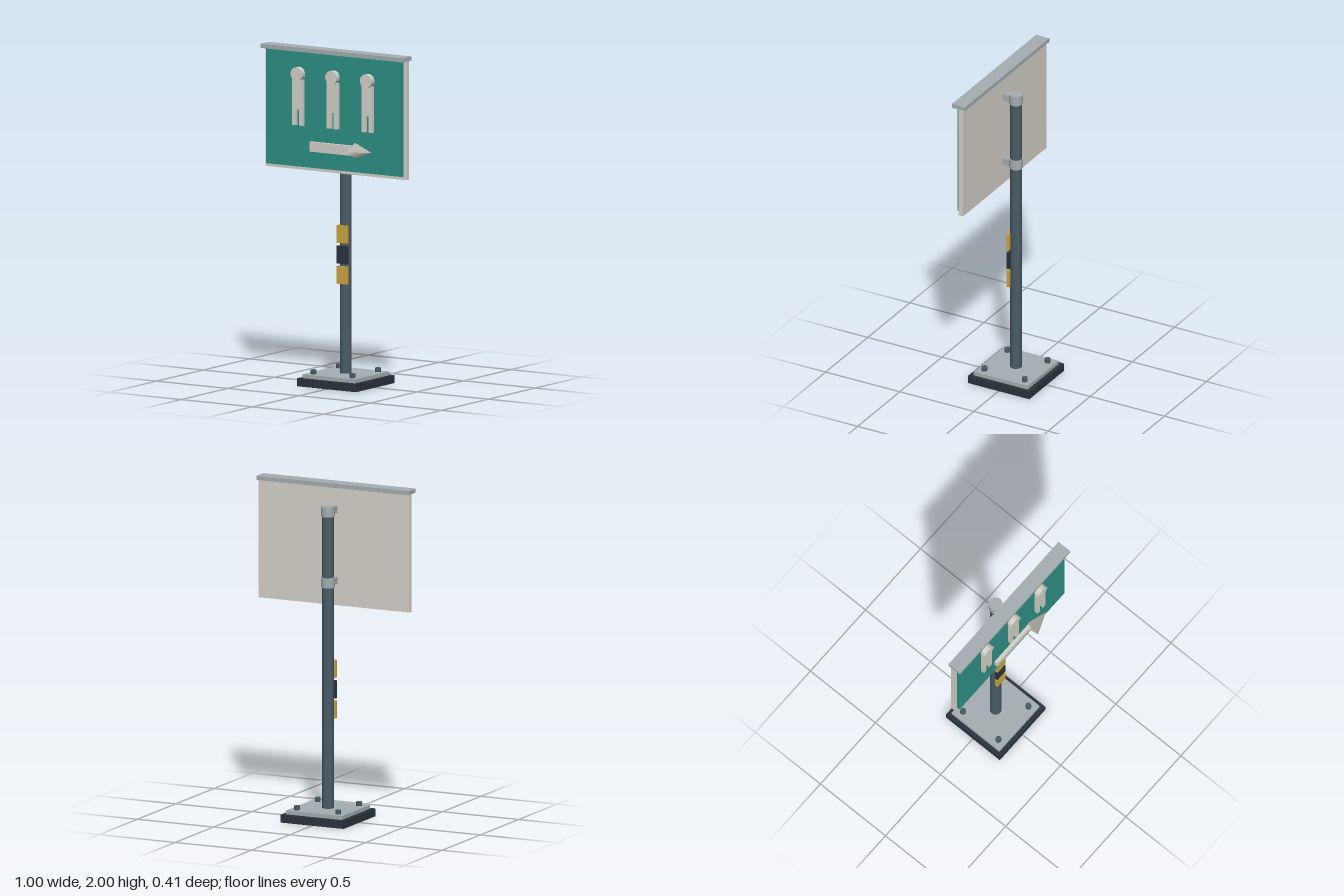
import * as THREE from 'three';

const mat = (name, color) => {
  const m = new THREE.MeshStandardMaterial({ color });
  m.name = name;
  return m;
};

export function createModel() {
  const teal = mat('teal', 0x2d9086);
  const cream = mat('cream', 0xd4d1c9);
  const metal = mat('light metal', 0xa4adb0);
  const steel = mat('pole steel', 0x4a5b65);
  const dark = mat('dark rubber', 0x2a333c);
  const gold = mat('gold', 0xcca53e);

  const model = new THREE.Group();
  model.name = 'directionSign';

  const add = (name, geometry, material, parent = model) => {
    const mesh = new THREE.Mesh(geometry, material);
    mesh.name = name;
    parent.add(mesh);
    return mesh;
  };
  // Box given by its lower and upper limits on each axis
  const box = (name, material, [x0, x1], [y0, y1], [z0, z1], parent) =>
    add(name, new THREE.BoxGeometry(x1 - x0, y1 - y0, z1 - z0)
      .translate((x0 + x1) / 2, (y0 + y1) / 2, (z0 + z1) / 2), material, parent);
  // Upright cylinder between two heights
  const post = (name, material, r, y0, y1, sides, x = 0, z = 0) =>
    add(name, new THREE.CylinderGeometry(r, r, y1 - y0, sides)
      .translate(x, (y0 + y1) / 2, z), material);

  // Base, floor plate and bolts
  box('base', dark, [-0.207, 0.207], [0, 0.047], [-0.207, 0.207]);
  box('floorPlate', metal, [-0.183, 0.183], [0.047, 0.07], [-0.183, 0.183]);
  for (const x of [-0.136, 0.136])
    for (const z of [-0.136, 0.136]) post('bolt', steel, 0.018, 0.07, 0.095, 8, x, z);

  // Pole with clamps and arms holding the board
  post('pole', steel, 0.034, 0.07, 1.865, 24);
  for (const y of [1.42, 1.845]) {
    post('clamp', metal, 0.041, y - 0.03, y + 0.03, 24);
    box('clampArm', metal, [-0.024, 0.024], [y - 0.021, y + 0.021], [0.02, 0.08]);
  }

  // Marker plates on the front of the pole
  [[gold, 0.602], [dark, 0.722], [gold, 0.845]].forEach(([m, y]) =>
    box('poleMarker', m, [-0.036, 0.036], [y, y + 0.106], [0.027, 0.044]));

  // Board, face panel and cap rail
  box('board', cream, [-0.495, 0.495], [1.27, 1.978], [0.077, 0.106]);
  box('facePanel', teal, [-0.476, 0.476], [1.29, 1.978], [0.106, 0.126]);
  box('capRail', metal, [-0.5, 0.5], [1.975, 2], [0.06, 0.149]);

  // Three standing figures
  for (const x of [-0.243, 0, 0.243]) {
    const figure = new THREE.Group();
    figure.name = 'figure';
    figure.position.x = x;
    model.add(figure);
    add('head', new THREE.CylinderGeometry(0.041, 0.041, 0.034, 18)
      .rotateX(Math.PI / 2).translate(0, 1.842, 0.141), cream, figure);
    box('torso', cream, [-0.037, 0.037], [1.632, 1.81], [0.124, 0.147], figure);
    for (const s of [-1, 1])
      box('leg', cream, [s * 0.0245 - 0.0125, s * 0.0245 + 0.0125], [1.537, 1.632], [0.124, 0.147], figure);
  }

  // Arrow with a three-sided head
  box('arrowShaft', cream, [-0.158, 0.145], [1.389, 1.447], [0.124, 0.147]);
  add('arrowHead', new THREE.ConeGeometry(0.055, 0.138, 3)
    .rotateZ(-Math.PI / 2).translate(0.212, 1.418, 0.15), cream);

  return model;
}
